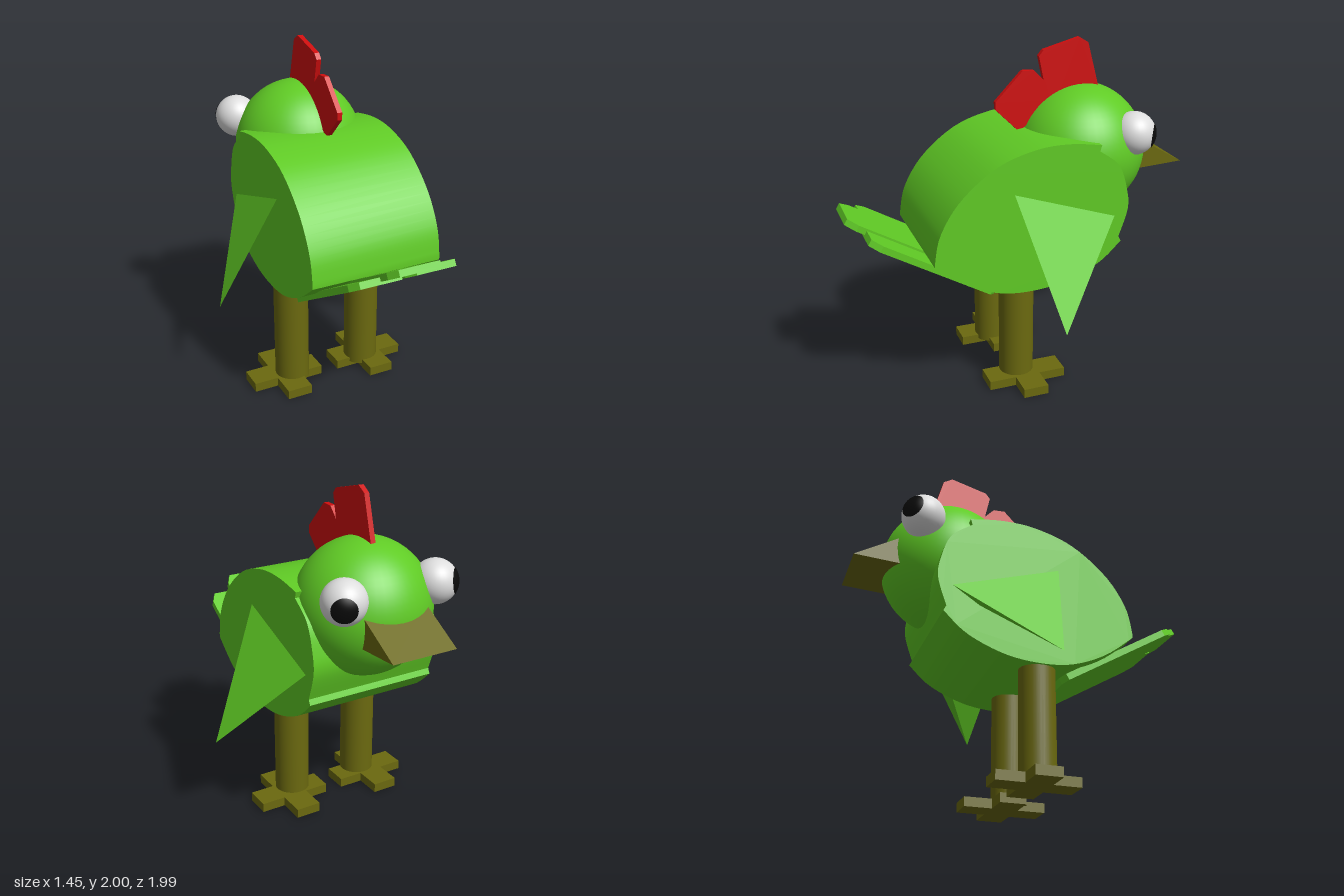
import * as THREE from 'three';
import { toCreasedNormals } from 'three/addons/utils/BufferGeometryUtils.js';
import { ConvexGeometry } from 'three/addons/geometries/ConvexGeometry.js';

const paint = (name, color) => {
  const m = new THREE.MeshStandardMaterial({ color });
  m.name = name;
  return m;
};

export function createModel() {
  const green = paint('feather green', 0x60cb25);
  const olive = paint('leg olive', 0x6b690f);
  const red = paint('comb red', 0xd00e0e);
  const white = paint('eye white', 0xdedede);
  const black = paint('pupil black', 0x0a0a0a);

  const group = new THREE.Group();
  const V = (x, y, z) => new THREE.Vector3(x, y, z);
  const add = (name, geometry, material, x = 0, y = 0, z = 0) => {
    const mesh = new THREE.Mesh(geometry, material);
    mesh.name = name;
    mesh.position.set(x, y, z);
    group.add(mesh);
    return mesh;
  };
  const polygon = (pts) => new THREE.Shape(pts.map(([a, b]) => new THREE.Vector2(a, b)));

  // Side profile given as (z, y), extruded across x from x0 to x1
  const slab = (shape, x0, x1) => {
    const g = new THREE.ExtrudeGeometry(shape, { depth: x1 - x0, bevelEnabled: false, curveSegments: 8 });
    return g.rotateY(-Math.PI / 2).translate(x1, 0, 0);
  };

  // Body: rounded profile with small steps at the neck, chest and rump
  const spline = (pts) => new THREE.SplineCurve(pts.map(([a, b]) => new THREE.Vector2(a, b))).getPoints(28);
  const body = new THREE.Shape([
    ...spline([[0.57, 0.92], [0.535, 1.08], [0.42, 1.26], [0.22, 1.42], [0, 1.495], [-0.2, 1.507], [-0.39, 1.48]]),
    ...spline([[-0.38, 1.445], [-0.5, 1.35], [-0.555, 1.2], [-0.565, 1.08], [-0.515, 0.92]]),
    ...spline([[-0.53, 0.89], [-0.4, 0.775], [-0.2, 0.69], [0, 0.662], [0.2, 0.68], [0.4, 0.765], [0.57, 0.895]]),
  ]);
  add('body', toCreasedNormals(slab(body, -0.405, 0.38), 0.4), green);

  // Head
  add('head', new THREE.SphereGeometry(0.38, 48, 32), green, -0.01, 1.35, -0.425);

  // Beak: wedge
  add('beak', slab(polygon([[-0.72, 1.42], [-0.72, 1.243], [-0.995, 1.257]]), -0.2, 0.19), olive);

  // Comb: two thin lobes
  add('combFront', slab(polygon([[-0.16, 1.907], [-0.186, 1.94], [-0.404, 1.997], [-0.457, 1.965],
    [-0.527, 1.71], [-0.48, 1.6], [-0.25, 1.6], [-0.19, 1.77]]), -0.016, 0.014), red);
  add('combBack', slab(polygon([[0.096, 1.668], [-0.064, 1.833], [-0.133, 1.83], [-0.186, 1.775],
    [-0.27, 1.65], [-0.043, 1.487], [0.096, 1.625]]), -0.016, 0.014), red);

  // Eyes: ball plus a pupil cap turned towards the gaze
  const eye = (side, x, y, z, gaze) => {
    add(side + 'Eye', new THREE.SphereGeometry(0.124, 32, 24), white, x, y, z);
    const cap = new THREE.SphereGeometry(0.127, 32, 10, 0, Math.PI * 2, 0, 0.58);
    add(side + 'Pupil', cap, black, x, y, z).quaternion.setFromUnitVectors(V(0, 1, 0), gaze.normalize());
  };
  eye('left', 0.25, 1.483, -0.648, V(0.5, -0.08, -0.8));
  eye('right', -0.322, 1.492, -0.642, V(-0.66, 0.1, -0.72));

  // Wings: thin pyramids leaning out from the body sides
  add('leftWing', new ConvexGeometry([V(0.38, 1.255, 0.115), V(0.38, 1.05, -0.484),
    V(0.38, 0.93, -0.33), V(0.72, 0.545, -0.06)]), green);
  add('rightWing', new ConvexGeometry([V(-0.405, 1.245, 0.13), V(-0.405, 1.05, -0.484),
    V(-0.405, 0.95, -0.33), V(-0.727, 0.6, 0.02)]), green);

  // Tail: three flat feathers with clipped corners
  const feather = (name, x0, x1, y, z, length, thick) => {
    const w = x1 - x0, c = 0.035, e = 0.065;
    const shape = polygon([[c, 0], [w - c, 0], [w, c], [w, length - e], [w - c, length],
      [c, length], [0, length - e], [0, c]]);
    const g = new THREE.ExtrudeGeometry(shape, { depth: thick, bevelEnabled: false });
    add(name, g, green, x0, y, z).rotation.x = THREE.MathUtils.degToRad(59.5);
  };
  feather('tailRight', -0.325, -0.012, 0.638, 0.163, 0.806, 0.038);
  feather('tailLeft', -0.01, 0.298, 0.652, 0.182, 0.81, 0.038);
  feather('tailMiddle', -0.17, 0.142, 0.722, 0.277, 0.81, 0.037);

  // Legs and cross-shaped feet
  for (const [side, s] of [['left', 1], ['right', -1]]) {
    const at = (d) => -0.055 + s * d;
    add(side + 'Leg', new THREE.CylinderGeometry(0.102, 0.102, 0.75, 32), olive, at(0.235), 0.405, 0.034);
    const a = 0.075, l = 0.22, m = 0.235;
    const cross = polygon([[a, a], [a, m], [-a, m], [-a, a], [-l, a], [-l, -a],
      [-a, -a], [-a, -m], [a, -m], [a, -a], [l, -a], [l, a]]);
    const foot = new THREE.ExtrudeGeometry(cross, { depth: 0.055, bevelEnabled: false }).rotateX(-Math.PI / 2);
    add(side + 'Foot', foot, olive, at(0.275), 0, 0);
  }
  return group;
}
